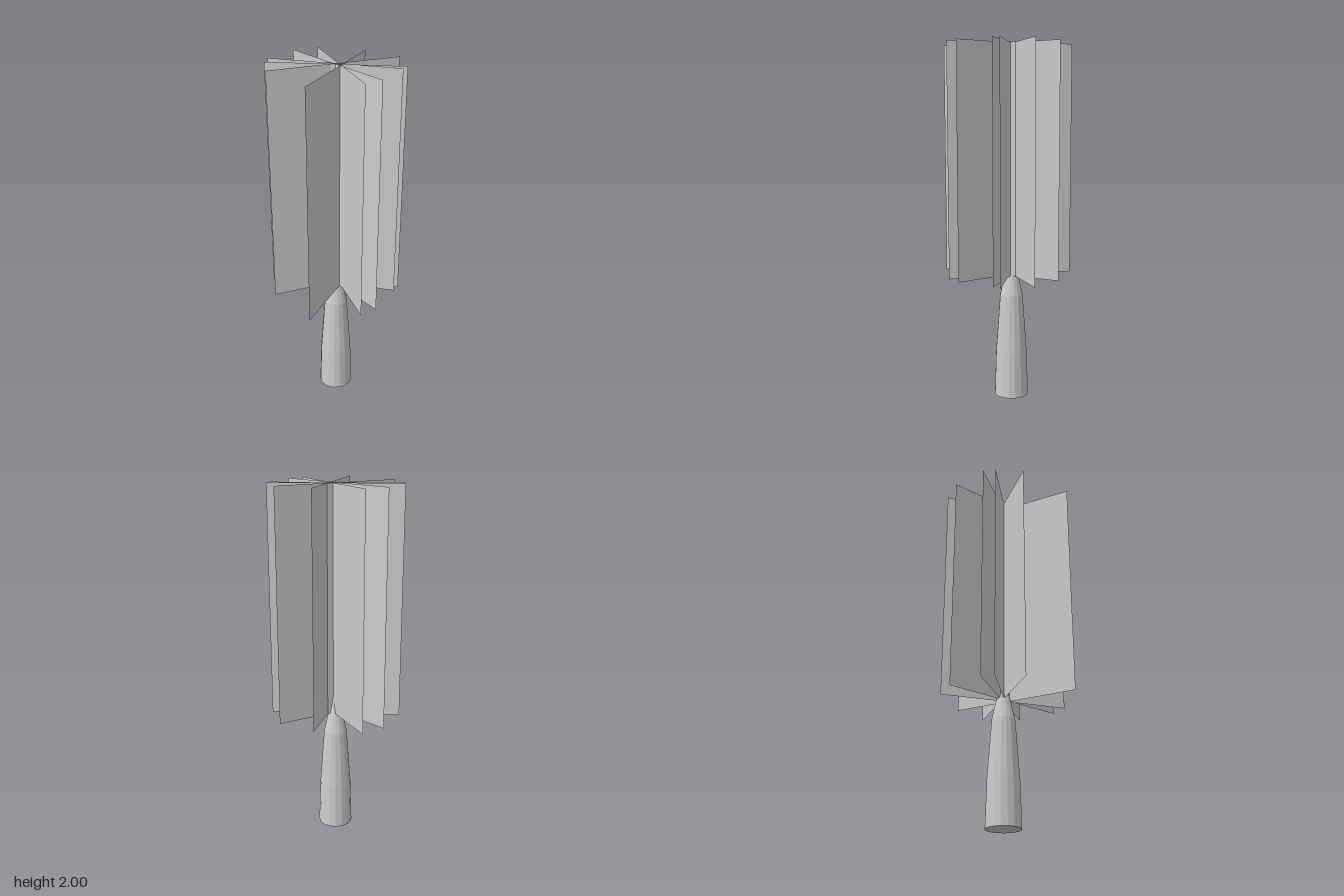
import * as THREE from 'three';

export function createModel() {
  const group = new THREE.Group();
  group.name = 'bladedWand';

  // Tapering faceted handle whose spike runs up between the blades
  const profile = [
    [0, 0], [0.097, 0], [0.089, 0.26], [0.065, 0.59], [0.043, 0.69],
    [0.03, 0.74], [0.017, 0.81], [0.008, 0.9], [0, 0.9],
  ].map(([r, y]) => new THREE.Vector2(r, y));
  const handle = new THREE.Mesh(
    new THREE.LatheGeometry(profile, 16),
    new THREE.MeshStandardMaterial({ color: 0xcccccc, flatShading: true })
  );
  handle.name = 'handle';
  group.add(handle);

  // Thin upright sheets crossing near the axis: end points x1, z1, x2, z2
  const bladeMaterial = new THREE.MeshStandardMaterial({
    color: 0xcccccc, flatShading: true, side: THREE.DoubleSide,
  });
  const bottom = 0.705, top = 2;
  const sheets = [
    [-0.35, 0.22, 0.286, -0.112],
    [-0.1, 0.354, 0.127, -0.327],
    [0.003, 0.358, -0.012, -0.357],
    [0.345, 0.096, -0.35, -0.11],
    [0.255, 0.257, -0.267, -0.25],
    [0.21, 0.272, -0.213, -0.3],
  ];
  sheets.forEach(([x1, z1, x2, z2], i) => {
    const dx = x2 - x1, dz = z2 - z1;
    const blade = new THREE.Mesh(
      new THREE.PlaneGeometry(Math.hypot(dx, dz), top - bottom), bladeMaterial
    );
    blade.position.set((x1 + x2) / 2, (top + bottom) / 2, (z1 + z2) / 2);
    blade.rotation.y = Math.atan2(-dz, dx);
    blade.name = `blade${i + 1}`;
    group.add(blade);
  });

  return group;
}
